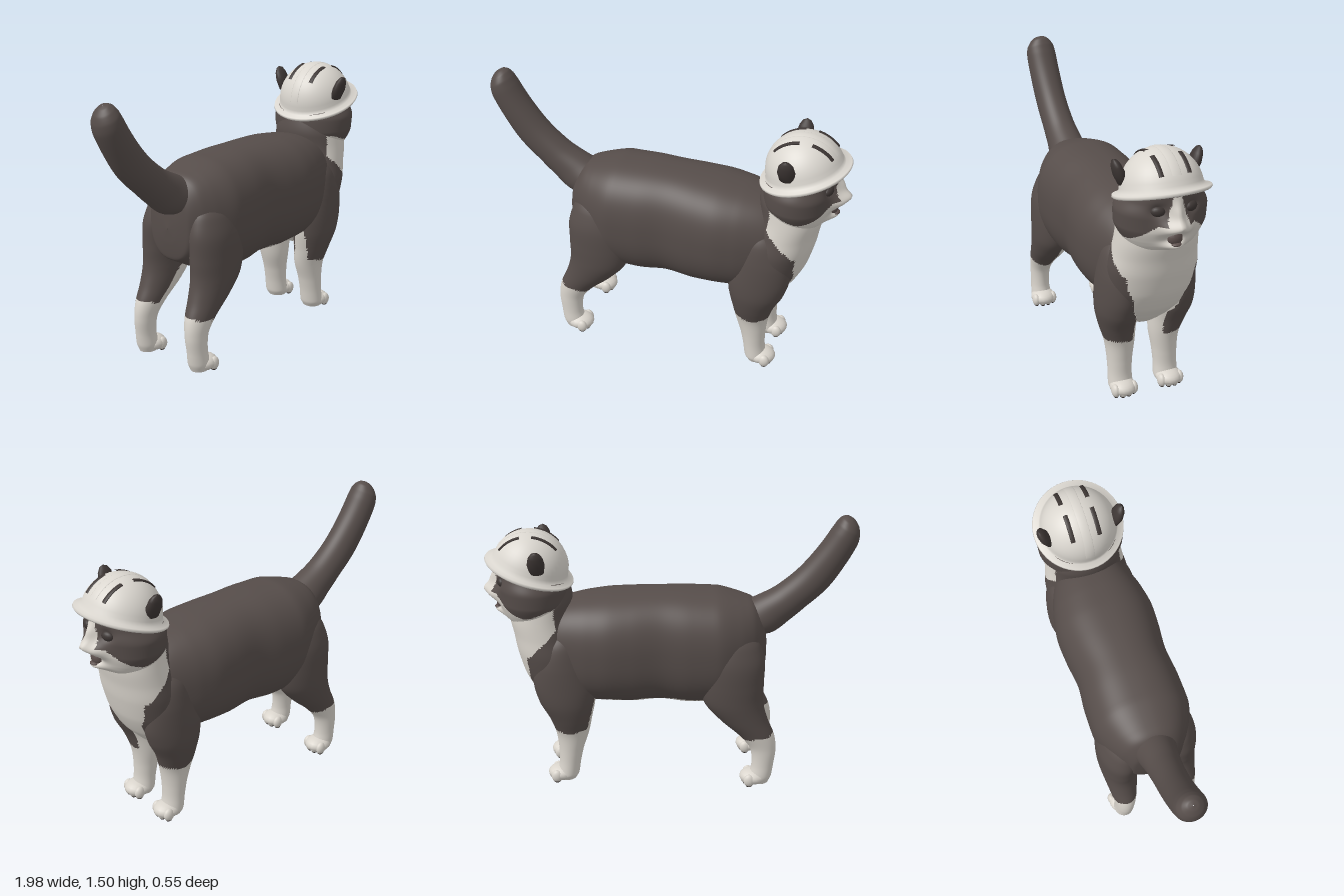
import * as THREE from 'three';

const mat = (name, color, side = THREE.FrontSide) => {
  const m = new THREE.MeshStandardMaterial({ color, side });
  m.name = name;
  return m;
};

// Smooth skin through oval rings [x, y, z, radius in the xy plane, radius in z].
// angle: direction of the first radius; paint(x, y, |z|) is true where fur is white;
// square < 1 makes boxier ovals; bulge(x, y, |z|) pushes the surface along x.
function loft(rings, angle, paint, { square = 1, steps = 64, seg = 48, bulge = () => 0 } = {}) {
  const u = new THREE.Vector3(Math.cos(angle), Math.sin(angle), 0);
  const axis = u.clone().cross(new THREE.Vector3(0, 0, 1));
  const centre = new THREE.CatmullRomCurve3(rings.map(r => new THREE.Vector3(r[0], r[1], r[2])));
  const radius = new THREE.CatmullRomCurve3(rings.map(r => new THREE.Vector3(r[3], r[4], 0)));
  const span = centre.getPoint(1).sub(centre.getPoint(0));
  const flip = span.dot(axis) < 0;
  const pos = [], groups = [[], []];
  const pow = v => Math.sign(v) * Math.abs(v) ** square;
  for (let i = 0; i <= steps; i++) {
    const t = flip ? 1 - i / steps : i / steps;
    const c = centre.getPoint(t), r = radius.getPoint(t);
    for (let j = 0; j < seg; j++) {
      const a = j / seg * Math.PI * 2;
      const p = c.clone().addScaledVector(u, pow(Math.cos(a)) * Math.max(r.x, 0.001));
      p.z += pow(Math.sin(a)) * Math.max(r.y, 0.001);
      pos.push(p.x + bulge(p.x, p.y, Math.abs(p.z)), p.y, p.z);
    }
  }
  const tri = (...v) => {
    const m = k => (pos[v[0] * 3 + k] + pos[v[1] * 3 + k] + pos[v[2] * 3 + k]) / 3;
    groups[paint(m(0), m(1), Math.abs(m(2))) ? 1 : 0].push(...v);
  };
  for (let i = 0; i < steps; i++) for (let j = 0; j < seg; j++) {
    const k = (j + 1) % seg, a = i * seg + j, b = i * seg + k;
    tri(a, b, b + seg);
    tri(a, b + seg, a + seg);
  }
  const g = new THREE.BufferGeometry();
  g.setAttribute('position', new THREE.Float32BufferAttribute(pos, 3));
  g.setIndex([...groups[0], ...groups[1]]);
  g.addGroup(0, groups[0].length, 0);
  g.addGroup(groups[0].length, groups[1].length, 1);
  g.computeVertexNormals();
  return g;
}

export function createModel() {
  const cat = new THREE.Group();
  cat.name = 'cat';
  const coat = mat('dark coat', 0x564d4a);
  const white = mat('white fur', 0xd9d4cc);
  const shell = mat('helmet shell', 0xdad6cf, THREE.DoubleSide);
  const deep = mat('deep brown', 0x3d3634);
  const mouthMat = mat('mouth', 0x5c4f4c);
  const fur = [coat, white];

  const add = (name, geo, material, parent = cat) => {
    const m = new THREE.Mesh(geo, material);
    m.name = name;
    parent.add(m);
    return m;
  };
  const blob = (name, material, p, r, parent = cat) => {
    const m = add(name, new THREE.SphereGeometry(1, 18, 12), material, parent);
    m.position.set(...p);
    m.scale.set(...r);
    return m;
  };
  const ragged = (x, z) => 0.005 * Math.sin(x * 35 + z * 20);

  // White bib: a narrow strip on the chest, widening to the whole throat
  const bib = (x, y, z) => y > 0.78
    ? y < 1.08 && x > 0.605 + Math.max(0, 0.93 - y) * 0.9 + ragged(y, z)
    : x > 0.58 && z < 0.07 + (y - 0.4) * 0.33 + ragged(y, x);

  // Torso
  add('torso', loft([
    [-0.525, 0.76, 0, 0.002, 0.002], [-0.52, 0.76, 0, 0.08, 0.06], [-0.505, 0.77, 0, 0.18, 0.13],
    [-0.45, 0.79, 0, 0.235, 0.185], [-0.38, 0.785, 0, 0.268, 0.228], [-0.25, 0.775, 0, 0.31, 0.27],
    [-0.1, 0.775, 0, 0.316, 0.268], [0.05, 0.783, 0, 0.308, 0.255], [0.2, 0.776, 0, 0.31, 0.27],
    [0.32, 0.775, 0, 0.304, 0.276], [0.45, 0.77, 0, 0.292, 0.258], [0.6, 0.77, 0, 0.25, 0.21],
    [0.7, 0.75, 0, 0.17, 0.15], [0.76, 0.73, 0, 0.06, 0.06], [0.77, 0.73, 0, 0.002, 0.002],
  ], Math.PI / 2, (x, y, z) => (y < 0.515 + ragged(x, z) && x > -0.4) || bib(x, y, z),
  { square: 0.83, steps: 100, seg: 96 }), fur);

  // Chest and neck
  add('chestAndNeck', loft([
    [0.67, 1.18, 0, 0.12, 0.13], [0.69, 1.05, 0, 0.17, 0.2], [0.69, 0.96, 0, 0.168, 0.212],
    [0.67, 0.87, 0, 0.17, 0.222], [0.645, 0.77, 0, 0.178, 0.235], [0.62, 0.66, 0, 0.174, 0.228],
    [0.59, 0.55, 0, 0.15, 0.2], [0.56, 0.47, 0, 0.11, 0.15], [0.55, 0.4, 0, 0.04, 0.06],
    [0.55, 0.385, 0, 0.002, 0.002],
  ], 0, (x, y, z) => bib(x, y, z) || (y < 0.5 && z < 0.1), { square: 0.95, steps: 80, seg: 96 }), fur);

  // Tail
  add('tail', loft([
    [-0.33, 0.87, 0, 0.06, 0.06], [-0.44, 0.915, 0, 0.135, 0.115], [-0.55, 0.98, 0, 0.117, 0.097],
    [-0.65, 1.05, 0, 0.1, 0.088], [-0.76, 1.15, 0, 0.095, 0.085], [-0.855, 1.28, 0, 0.086, 0.085],
    [-0.915, 1.385, 0, 0.08, 0.084], [-0.932, 1.43, 0, 0.07, 0.077], [-0.94, 1.465, 0, 0.052, 0.055],
    [-0.943, 1.485, 0, 0.026, 0.028], [-0.944, 1.49, 0, 0.002, 0.002],
  ], 0.5, () => false), fur);

  // Paw with four toes and dark pads
  const paw = (name, x, z, s) => {
    const g = new THREE.Group();
    g.name = name;
    g.position.set(x, 0, z * s);
    cat.add(g);
    blob('foot', white, [0.012, 0.046, 0], [0.076, 0.044, 0.07], g);
    blob('heelPad', deep, [-0.01, 0.014, 0], [0.04, 0.012, 0.04], g);
    [-1.5, -0.5, 0.5, 1.5].forEach(k => {
      const tx = 0.058 - Math.abs(k) * 0.014;
      blob('toe', white, [tx, 0.042, k * 0.034], [0.031, 0.036, 0.022], g);
      blob('toePad', deep, [tx, 0.012, k * 0.033], [0.018, 0.01, 0.014], g);
    });
  };

  // Legs, mirrored
  for (const s of [1, -1]) {
    const side = s > 0 ? 'left' : 'right';
    const mirror = rings => rings.map(([x, y, z, a, b]) => [x, y, z * s, a, b]);
    add(side + 'FrontLeg', loft(mirror([
      [0.56, 0.95, 0.12, 0.03, 0.03], [0.57, 0.84, 0.14, 0.11, 0.088], [0.575, 0.72, 0.15, 0.155, 0.103],
      [0.565, 0.6, 0.153, 0.166, 0.108], [0.555, 0.5, 0.152, 0.15, 0.108], [0.54, 0.4, 0.142, 0.115, 0.096],
      [0.535, 0.3, 0.127, 0.09, 0.08], [0.545, 0.2, 0.128, 0.068, 0.068], [0.555, 0.11, 0.13, 0.059, 0.064],
      [0.565, 0.05, 0.13, 0.06, 0.066], [0.57, 0.015, 0.13, 0.048, 0.052],
    ]), 0, (x, y, z) => y < 0.33 + ragged(x, z) || bib(x, y, z) || (z < 0.085 && y < 0.6)
      || (y < 0.53 && x < 0.405 + (0.53 - y) * 0.25)), fur);
    paw(side + 'FrontPaw', 0.59, 0.132, s);

    add(side + 'HindLeg', loft(mirror([
      [-0.33, 0.96, 0.11, 0.04, 0.04], [-0.33, 0.84, 0.14, 0.15, 0.1], [-0.332, 0.72, 0.16, 0.176, 0.113],
      [-0.332, 0.6, 0.167, 0.173, 0.11], [-0.345, 0.5, 0.17, 0.16, 0.104], [-0.4, 0.4, 0.172, 0.13, 0.09],
      [-0.475, 0.3, 0.177, 0.095, 0.07], [-0.51, 0.22, 0.182, 0.07, 0.056], [-0.51, 0.12, 0.186, 0.06, 0.052],
      [-0.5, 0.06, 0.186, 0.062, 0.056], [-0.495, 0.015, 0.186, 0.05, 0.046],
    ]), 0, (x, y, z) => y < 0.3 - (x + 0.475) * 0.25 + ragged(x, z)
      || (z < 0.155 && y < 0.58 && x > -0.42 - (0.4 - y) * 0.7)), fur);
    paw(side + 'HindPaw', -0.473, 0.187, s);

    // Eyes, and rounded ears poking through the helmet
    blob(side + 'Eye', deep, [0.883, 1.168, 0.086 * s], [0.022, 0.026, 0.036]).rotation.y = -0.35 * s;
    const earProfile = [[0, -0.075], [0.038, -0.055], [0.046, 0], [0.038, 0.042], [0.022, 0.068], [0, 0.078]];
    const ear = add(side + 'Ear', new THREE.LatheGeometry(earProfile.map(p => new THREE.Vector2(...p)), 24), deep);
    ear.position.set(0.685, 1.305, 0.2 * s);
    ear.rotation.x = 0.35 * s;
    ear.scale.z = 0.62;
  }

  // Head sculpted with bridge, nose, muzzle pads, mouth hollow, chin and eye sockets
  const bump = (y, z, y0, z0, h, w) => Math.exp(-(((y - y0) / h) ** 2) - ((z - z0) / w) ** 2);
  const face = (x, y, z) => x < 0.78 ? 0
    : 0.05 * bump(y, z, 1.085, 0.04, 0.038, 0.05) + 0.035 * bump(y, z, 1.16, 0, 0.055, 0.03)
    + 0.042 * bump(y, z, 1.105, 0, 0.032, 0.03) + 0.045 * bump(y, z, 0.982, 0, 0.025, 0.06)
    - 0.02 * bump(y, z, 1.03, 0, 0.025, 0.04) - 0.022 * bump(y, z, 1.17, 0.088, 0.03, 0.035);
  add('head', loft([
    [0.74, 1.385, 0, 0.01, 0.01], [0.74, 1.37, 0, 0.08, 0.08], [0.74, 1.33, 0, 0.135, 0.14],
    [0.737, 1.27, 0, 0.172, 0.182], [0.735, 1.2, 0, 0.177, 0.205], [0.725, 1.13, 0, 0.19, 0.235],
    [0.722, 1.06, 0, 0.188, 0.232], [0.725, 1.0, 0, 0.168, 0.205], [0.725, 0.95, 0, 0.14, 0.17],
    [0.72, 0.9, 0, 0.01, 0.01],
  ], 0, (x, y, z) => (x > 0.62 && y < 1.04 - (x - 0.62) * 0.25 + ragged(x, z))
    || (x > 0.75 && y < 1.1 && z < 0.095 + (1.1 - y) * 1.1)
    || (x > 0.8 && y < 1.24 && z < 0.022 + (1.24 - y) * 0.26),
  { steps: 110, seg: 132, bulge: face }), fur);
  blob('mouth', mouthMat, [0.893, 1.022, 0], [0.032, 0.04, 0.04]);
  blob('tongue', mouthMat, [0.912, 0.996, 0], [0.024, 0.01, 0.026]);

  // Helmet tilted up toward the face
  const helmet = new THREE.Group();
  helmet.name = 'helmet';
  helmet.position.set(0.74, 1.213, 0);
  helmet.rotation.z = 0.315;
  cat.add(helmet);
  const profile = [[0.205, -0.016], [0.236, -0.018], [0.243, -0.01], [0.24, 0], [0.21, 0.005]];
  for (let i = 1; i <= 14; i++) {
    const a = i / 14 * Math.PI / 2;
    profile.push([0.204 * Math.cos(a), 0.004 + 0.204 * Math.sin(a)]);
  }
  add('helmetShell', new THREE.LatheGeometry(profile.map(p => new THREE.Vector2(p[0], p[1])), 48), shell, helmet);

  // Low crest and vent slots following the dome
  const band = (name, material, z, r, tube, width, from, to) => {
    const m = add(name, new THREE.TorusGeometry(r, tube, 8, 20, to - from), material, helmet);
    m.position.set(0, 0.004, z);
    m.rotation.z = from;
    m.scale.z = width / tube;
  };
  band('crest', shell, 0, 0.2, 0.006, 0.03, 0.35, 2.8);
  for (const z of [-0.07, 0.07]) {
    band('frontVent', deep, z, 0.1905, 0.006, 0.014, 0.38, 1.05);
    band('rearVent', deep, z, 0.1905, 0.006, 0.014, 1.38, 2.15);
  }
  return cat;
}
